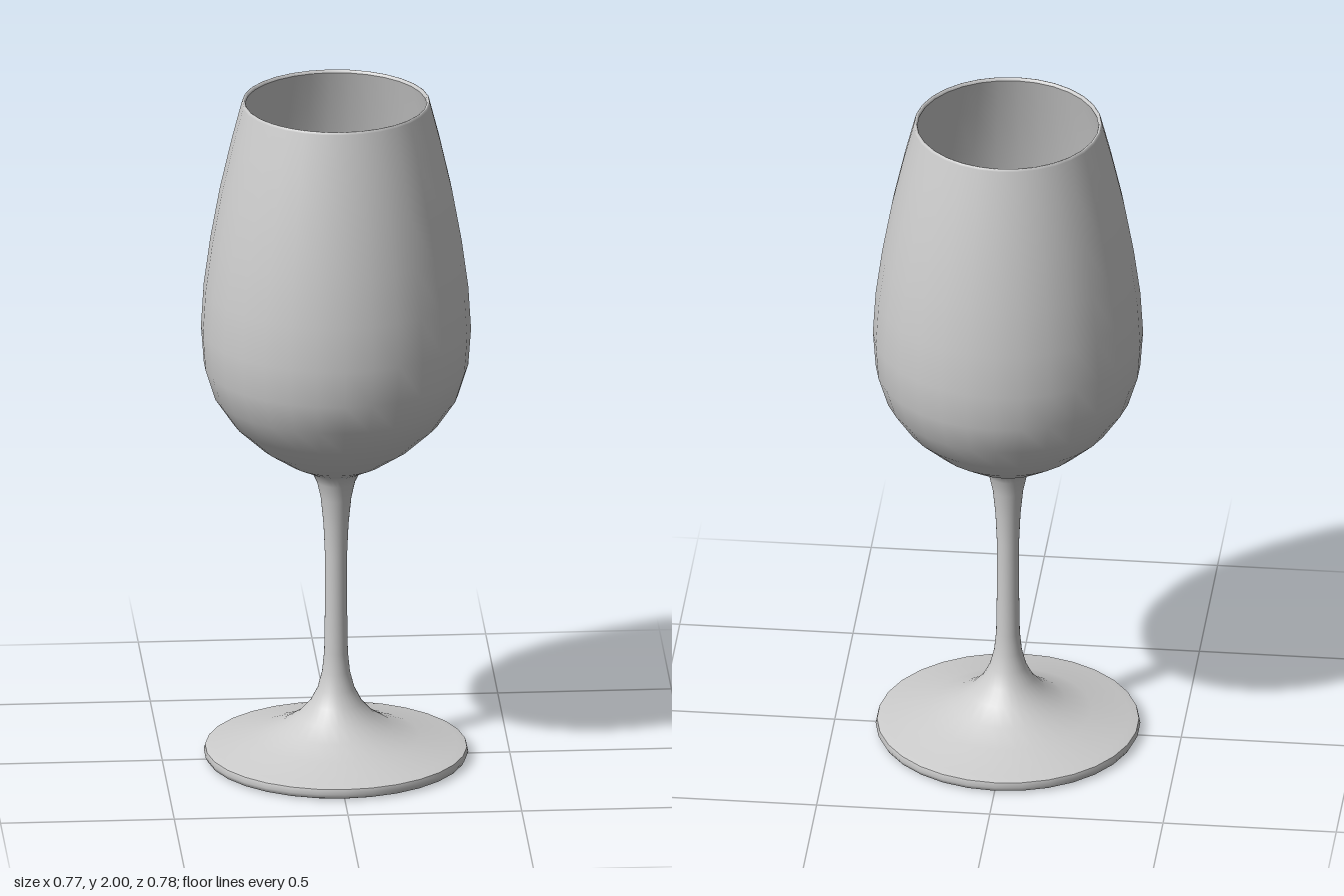
import * as THREE from 'three';

const SIDES = 30;

export function createModel() {
  const group = new THREE.Group();
  const glass = new THREE.MeshStandardMaterial({ color: 0xcccccc });
  glass.name = 'pale grey glass';

  // turn a profile of [radius, height] pairs around the vertical axis
  const turn = (name, profile) => {
    const points = profile.map(([r, y]) => new THREE.Vector2(r, y));
    const mesh = new THREE.Mesh(new THREE.LatheGeometry(points, SIDES), glass);
    mesh.name = name;
    group.add(mesh);
  };

  // bowl: outer wall, rounded lip, inner wall
  turn('bowlOuter', [
    [0.05, 0.868], [0.085, 0.878], [0.14, 0.905], [0.22, 0.958], [0.298, 1.03],
    [0.352, 1.11], [0.38, 1.2], [0.388, 1.31], [0.38, 1.44], [0.361, 1.58],
    [0.334, 1.73], [0.3, 1.88], [0.271, 1.993],
  ]);
  turn('lip', [[0.271, 1.993], [0.269, 1.999], [0.266, 2], [0.262, 1.998], [0.26, 1.992]]);
  turn('bowlInner', [
    [0.26, 1.992], [0.289, 1.88], [0.323, 1.73], [0.35, 1.58], [0.369, 1.44],
    [0.377, 1.31], [0.369, 1.2], [0.341, 1.115], [0.288, 1.04], [0.212, 0.972],
    [0.13, 0.922], [0.06, 0.9], [0, 0.895],
  ]);

  // stem flaring into the foot
  turn('stemAndFoot', [
    [0.376, 0.033], [0.35, 0.04], [0.24, 0.064], [0.165, 0.093], [0.11, 0.128],
    [0.075, 0.167], [0.053, 0.21], [0.04, 0.26], [0.034, 0.32], [0.032, 0.45],
    [0.032, 0.62], [0.036, 0.71], [0.044, 0.79], [0.055, 0.84], [0.068, 0.866], [0.08, 0.876],
  ]);

  // foot edge and underside
  turn('footEdge', [[0.36, 0], [0.373, 0.005], [0.38, 0.018], [0.376, 0.033]]);
  turn('footUnderside', [[0, 0], [0.36, 0]]);

  return group;
}
